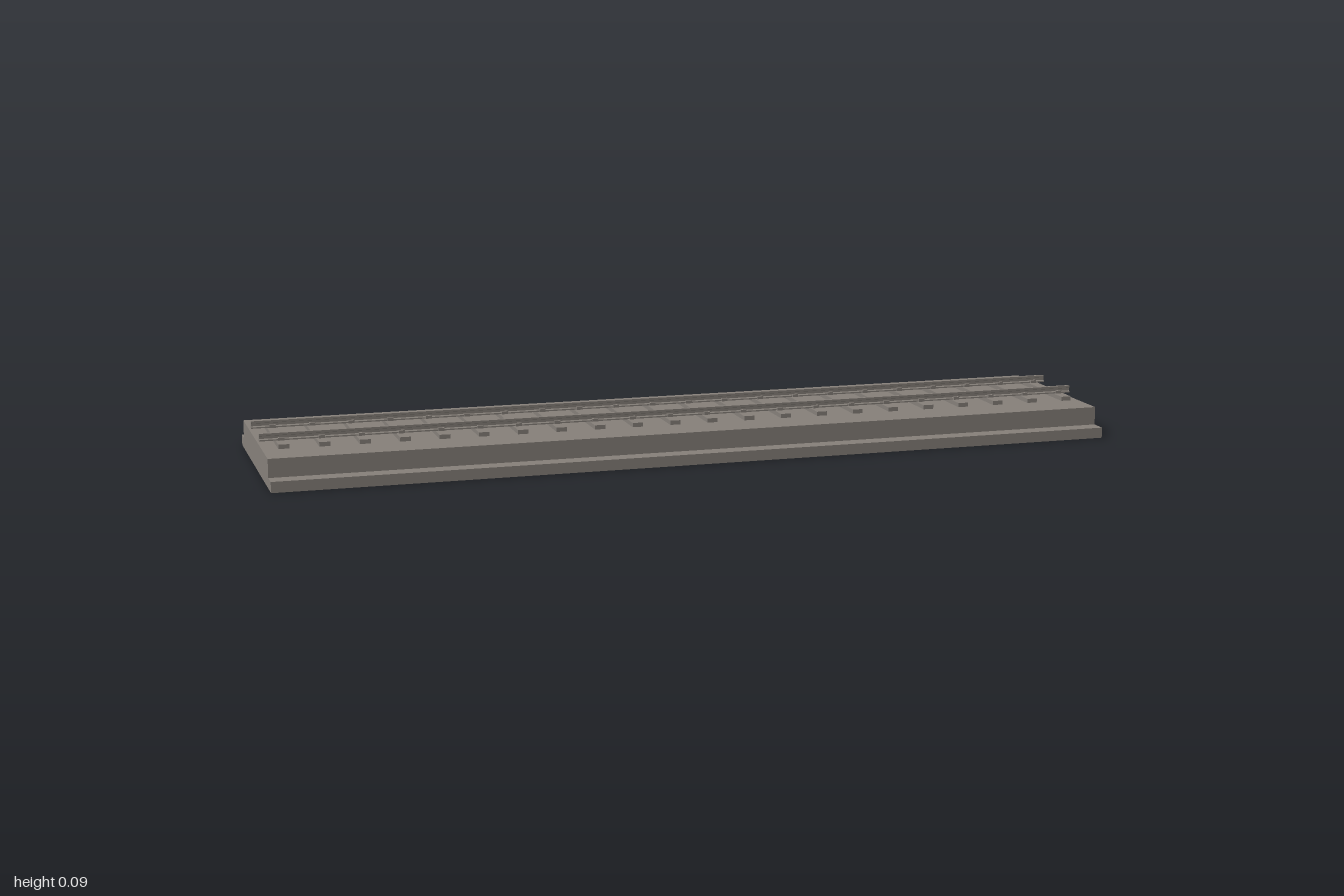
import * as THREE from 'three';

export function createModel() {
  const model = new THREE.Group();
  model.name = 'railwayTrack';
  const stone = new THREE.MeshStandardMaterial({ color: 0x857f79 });
  stone.name = 'warm grey';

  // Box placed by its centre in x and z and by its underside in y
  const box = (name, w, h, d, x, y, z) => {
    const mesh = new THREE.Mesh(new THREE.BoxGeometry(w, h, d), stone);
    mesh.name = name;
    mesh.position.set(x, y + h / 2, z);
    model.add(mesh);
  };

  // Stepped track bed
  box('lowerBed', 2, 0.025, 0.52, 0, 0, 0);
  box('upperBed', 2, 0.043, 0.44, 0, 0.025, 0);

  // Rail cross-section: foot, web and head
  const half = [[0.006, 0], [0.006, 0.003], [0.002, 0.005], [0.002, 0.011], [0.0038, 0.012], [0.0038, 0.017]];
  const outline = [...half, ...half.map(([x, y]) => [-x, y]).reverse()];
  const profile = new THREE.Shape(outline.map(([x, y]) => new THREE.Vector2(x, y)));
  const railGeometry = new THREE.ExtrudeGeometry(profile, { depth: 2, bevelEnabled: false });
  railGeometry.translate(0, 0, -1).rotateY(Math.PI / 2);

  const railZ = 0.073;
  for (const side of [1, -1]) {
    const rail = new THREE.Mesh(railGeometry, stone);
    rail.name = side > 0 ? 'frontRail' : 'backRail';
    rail.position.set(0, 0.078, side * railZ);
    model.add(rail);
  }

  // Sleepers, each with a pair of clips beside both rails
  const count = 22, first = -0.951, pitch = 0.0914;
  for (let i = 0; i < count; i++) {
    const x = first + i * pitch;
    box('sleeper', 0.025, 0.01, 0.25, x, 0.068, 0);
    for (const side of [1, -1]) {
      for (const edge of [1, -1]) {
        box('railClip', 0.014, 0.007, 0.007, x, 0.078, side * railZ + edge * 0.0068);
      }
    }
  }
  return model;
}
